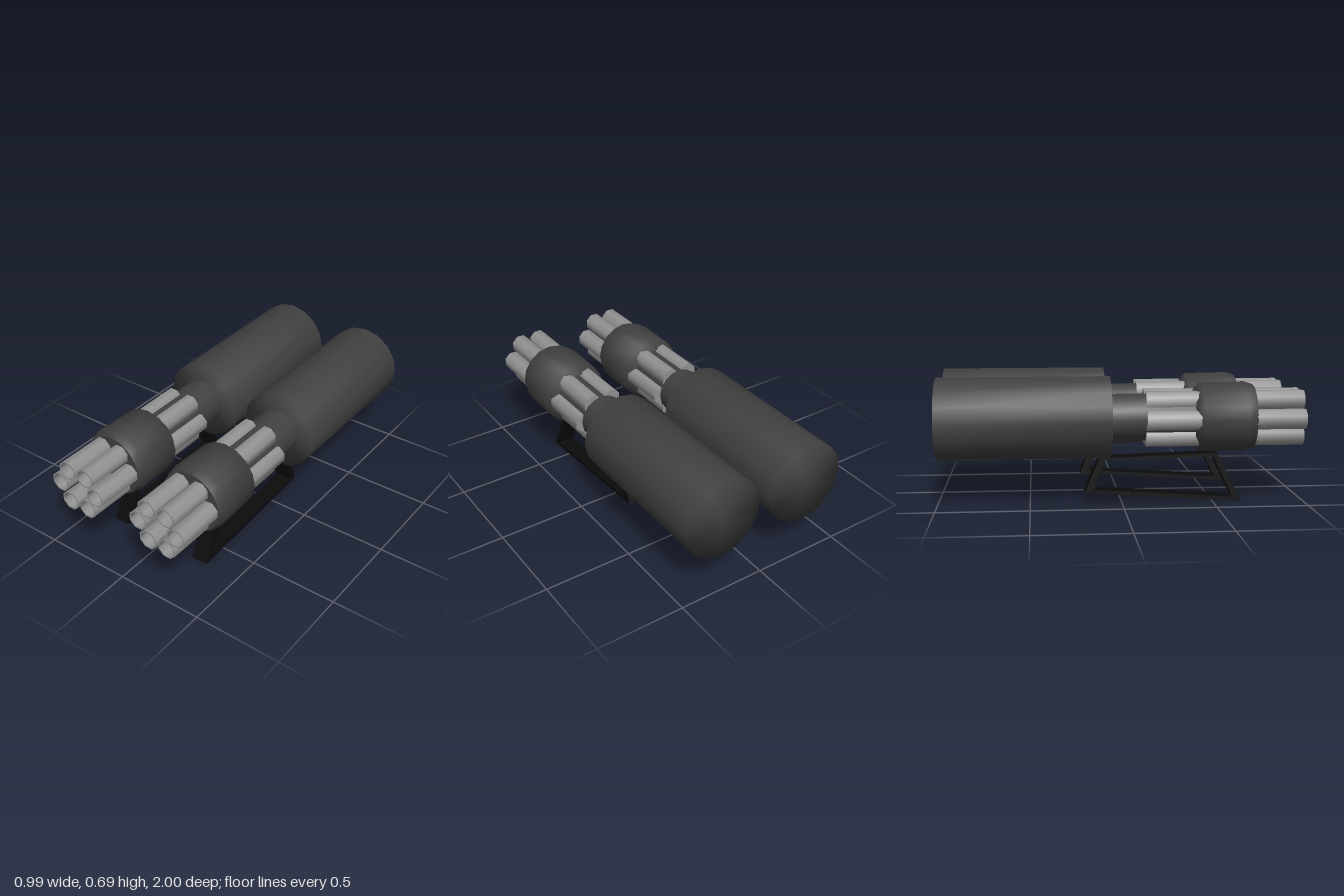
import * as THREE from 'three';
import { mergeVertices, toCreasedNormals } from 'three/addons/utils/BufferGeometryUtils.js';

const paint = (name, color) => {
  const m = new THREE.MeshStandardMaterial({ color });
  m.name = name;
  return m;
};

// Profile of [radius, z] pairs turned around the z axis
function turned(profile, sides, phase = 0) {
  const pts = profile.map(([r, z]) => new THREE.Vector2(r, z));
  return new THREE.LatheGeometry(pts, sides, phase).rotateX(Math.PI / 2);
}

// Share normals over every edge
function soft(geo) {
  geo.deleteAttribute('normal');
  geo.deleteAttribute('uv');
  const g = mergeVertices(geo, 1e-4);
  g.computeVertexNormals();
  return g;
}

function addMesh(parent, name, geo, mat) {
  const m = new THREE.Mesh(geo, mat);
  m.name = name;
  parent.add(m);
  return m;
}

export function createModel() {
  const model = new THREE.Group();
  model.name = 'twinRotaryGuns';
  const dark = paint('dark gunmetal', 0x404040);
  const steel = paint('barrel steel', 0x929292);
  const black = paint('black stand', 0x0b0b0b);
  const axisY = 0.46;

  const housingGeo = soft(turned([[0, -1], [0.228, -1], [0.228, -0.06], [0, -0.06]], 16));
  const neckGeo = toCreasedNormals(turned([[0.131, -0.08], [0.131, 0.5]], 16), 0.9);
  const clampGeo = toCreasedNormals(turned(
    [[0, 0.4], [0.15, 0.4], [0.19, 0.435], [0.194, 0.68], [0.178, 0.73], [0, 0.73]], 16), 0.9);

  // Octagonal barrel shell, and a softly shaded bore inside it
  const barrelGeo = toCreasedNormals(turned(
    [[0, 0.13], [0.057, 0.13], [0.057, 1], [0.048, 1]], 8, Math.PI / 8), 0.9);
  const boreGeo = soft(turned([[0.048, 1], [0.048, 0.8], [0, 0.8]], 8, Math.PI / 8));

  // Stand frame, drawn as (z, y) and extruded across x
  const frame = new THREE.Shape([[0.658, 0], [-0.203, 0.058], [-0.125, 0.25], [0.525, 0.27]]
    .map(p => new THREE.Vector2(...p)));
  frame.holes.push(new THREE.Path([[0.61, 0.024], [0.502, 0.25], [-0.093, 0.237], [-0.152, 0.075]]
    .map(p => new THREE.Vector2(...p))));
  const standGeo = new THREE.ExtrudeGeometry(frame, { depth: 0.097, bevelEnabled: false })
    .translate(0, 0, -0.0485).rotateY(-Math.PI / 2);

  for (const [side, x, standX] of [['right', -0.265, -0.306], ['left', 0.264, 0.2515]]) {
    const gun = new THREE.Group();
    gun.name = side + 'Gun';
    gun.position.set(x, axisY, 0);
    model.add(gun);
    addMesh(gun, 'housing', housingGeo, dark);
    addMesh(gun, 'neck', neckGeo, dark);
    addMesh(gun, 'barrelClamp', clampGeo, dark);

    // Ring of six barrels
    for (let i = 0; i < 6; i++) {
      const a = i * Math.PI / 3;
      const barrel = new THREE.Group();
      barrel.name = 'barrel' + (i + 1);
      barrel.position.set(0.12 * Math.cos(a) - 0.003, 0.112 * Math.sin(a) - 0.001, 0);
      addMesh(barrel, 'barrelShell', barrelGeo, steel);
      addMesh(barrel, 'barrelBore', boreGeo, steel);
      gun.add(barrel);
    }

    addMesh(model, side + 'Stand', standGeo, black).position.x = standX;
  }
  return model;
}
